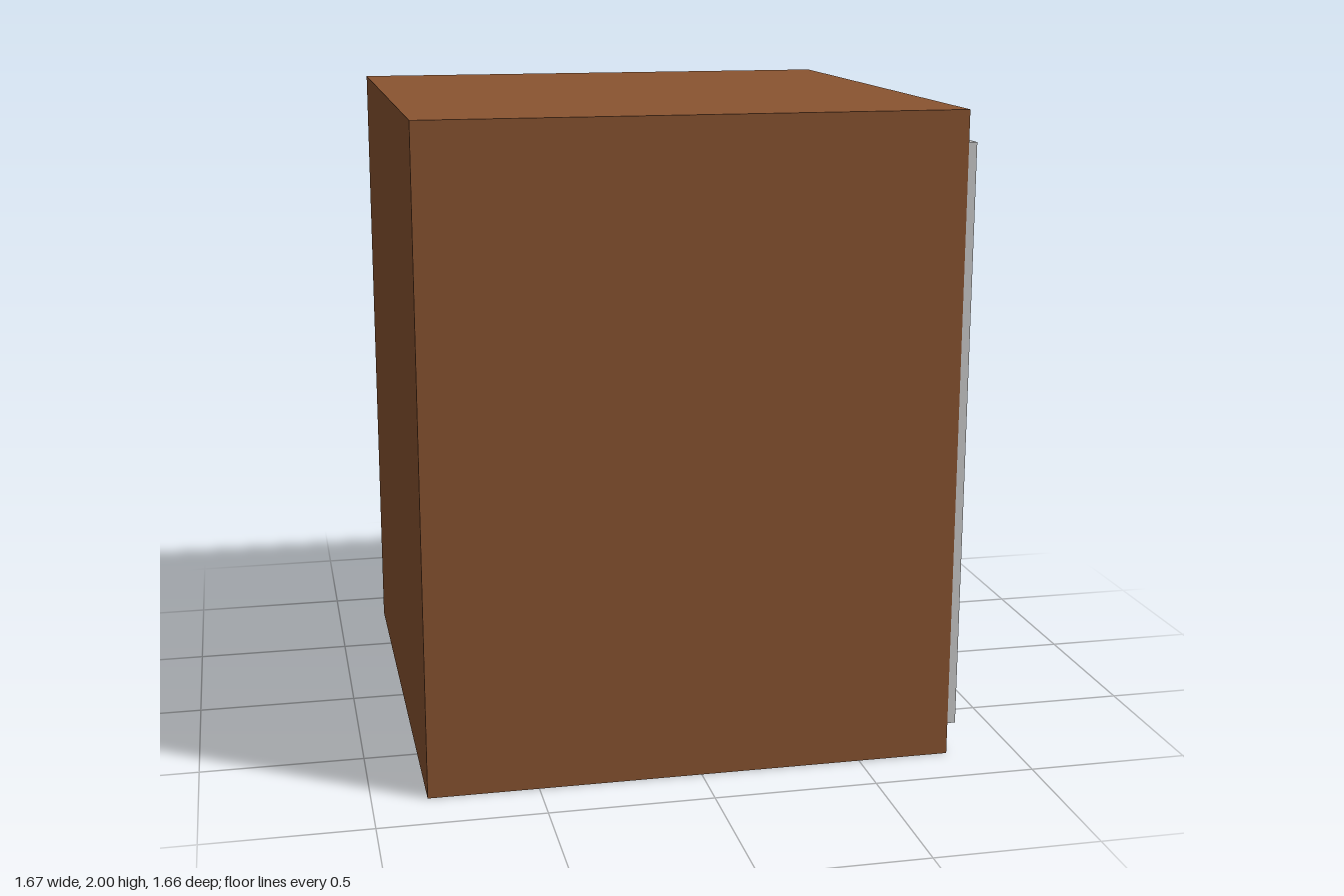
import * as THREE from 'three';

const brown = new THREE.MeshStandardMaterial({ color: 0x8a5431, flatShading: true });
const grey = new THREE.MeshStandardMaterial({ color: 0xcccccc, flatShading: true });

// Box given by its minimum and maximum corners
function box(name, min, max, material) {
  const size = max.map((v, i) => v - min[i]);
  const mesh = new THREE.Mesh(new THREE.BoxGeometry(...size), material);
  mesh.position.set(...max.map((v, i) => (v + min[i]) / 2));
  mesh.name = name;
  return mesh;
}

// Rectangular plate facing +x, lofted through rings of [half width z, half height y, x]
function loftedPlate(rings) {
  const corners = [[-1, -1], [-1, 1], [1, 1], [1, -1]];
  const loops = rings.map(([w, h, x]) => corners.map(([sz, sy]) => [x, sy * h, sz * w]));
  const pos = [];
  const quad = (a, b, c, d) => pos.push(...a, ...b, ...c, ...a, ...c, ...d);
  for (let i = 0; i < loops.length - 1; i++) {
    for (let j = 0; j < 4; j++) {
      const k = (j + 1) % 4;
      quad(loops[i][j], loops[i][k], loops[i + 1][k], loops[i + 1][j]);
    }
  }
  quad(...loops[loops.length - 1]); // floor of the recess
  quad(...[...loops[0]].reverse()); // back
  const geometry = new THREE.BufferGeometry();
  geometry.setAttribute('position', new THREE.Float32BufferAttribute(pos, 3));
  geometry.computeVertexNormals();
  return geometry;
}

export function createModel() {
  const group = new THREE.Group();
  group.name = 'cabinet';

  group.add(box('cabinetBody', [-0.835, 0, -0.83], [0.785, 2, 0.83], brown));
  group.add(box('doorPanel', [0.785, 0.1, -0.79], [0.81, 1.905, 0.83], grey));

  // Recessed pull: outer walls, flat rim, then a scoop sloping to the floor
  const handle = new THREE.Mesh(loftedPlate([
    [0.212, 0.097, 0],
    [0.212, 0.097, 0.025],
    [0.192, 0.085, 0.025],
    [0.182, 0.078, 0.009],
    [0.165, 0.073, 0.003],
  ]), brown);
  handle.position.set(0.81, 0.262, 0.487);
  handle.name = 'recessedHandle';
  group.add(handle);

  return group;
}
